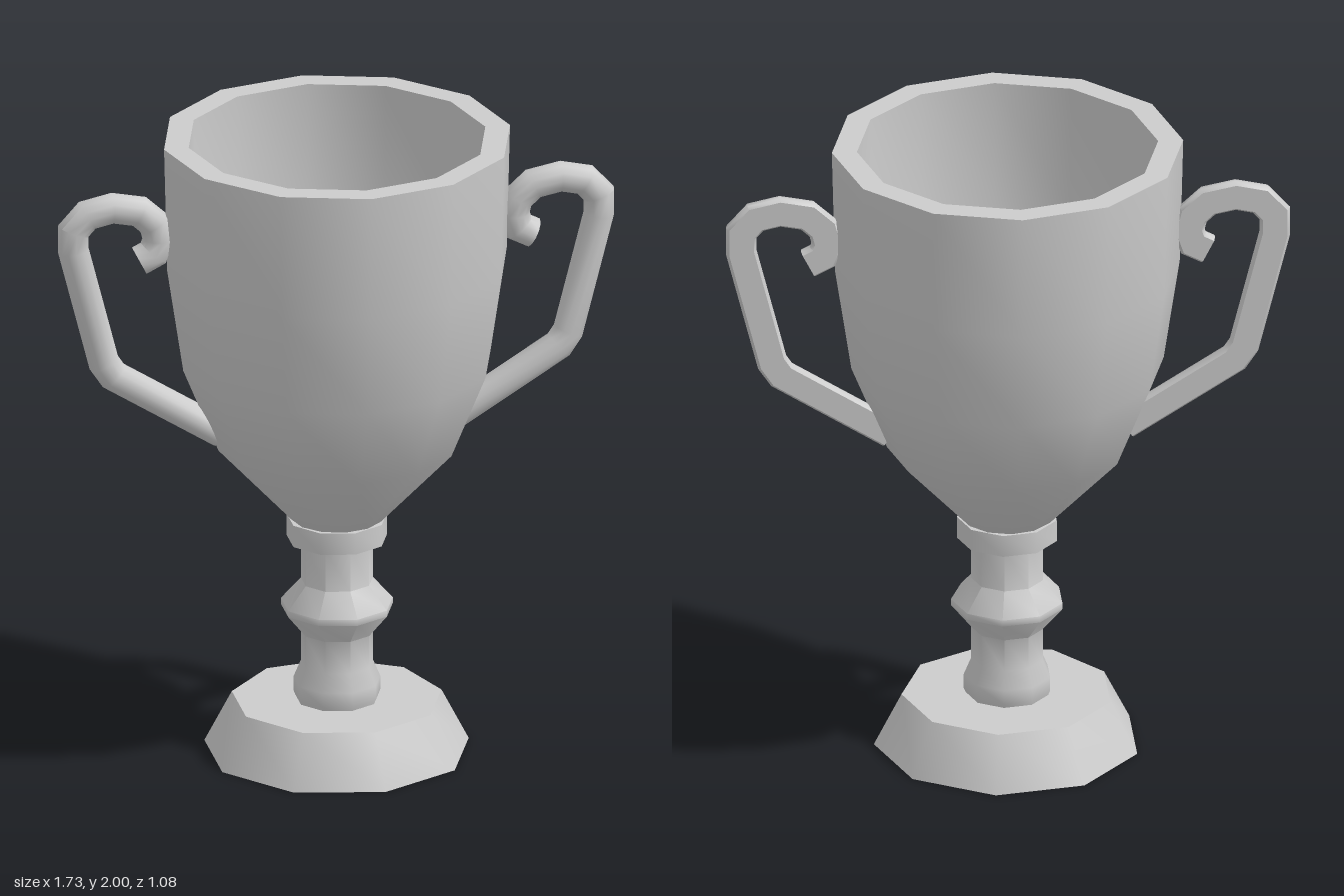
import * as THREE from 'three';
import { toCreasedNormals } from 'three/addons/utils/BufferGeometryUtils.js';

const material = new THREE.MeshStandardMaterial({ color: 0xcccccc, side: THREE.DoubleSide });
const CREASE = 0.8;

function addMesh(group, name, geometry) {
  const mesh = new THREE.Mesh(toCreasedNormals(geometry, CREASE), material);
  mesh.name = name;
  group.add(mesh);
}

// Turned part from [radius, height] pairs, with a corner on +x
function turned(profile, sides) {
  const points = profile.map(([r, y]) => new THREE.Vector2(r, y));
  return new THREE.LatheGeometry(points, sides, Math.PI / 2);
}

// Sweeps a closed (u, z) section along a path in the xy plane, with mitred corners
function sweep(path, section) {
  const positions = [], index = [], n = section.length, last = path.length - 1;
  path.forEach((p, i) => {
    const a = p.clone().sub(path[Math.max(i - 1, 0)]).normalize();
    const b = path[Math.min(i + 1, last)].clone().sub(p).normalize();
    const t = a.clone().add(b).normalize();
    const mitre = 1 / (i > 0 && i < last ? t.dot(a) : 1);
    for (const [u, z] of section) positions.push(p.x - t.y * u * mitre, p.y + t.x * u * mitre, z);
  });
  for (let i = 0; i < last; i++) {
    for (let j = 0; j < n; j++) {
      const a = i * n + j, b = i * n + (j + 1) % n;
      index.push(a, b, b + n, a, b + n, a + n);
    }
  }
  // End caps
  for (let j = 1; j < n - 1; j++) {
    index.push(0, j + 1, j, last * n, last * n + j, last * n + j + 1);
  }
  const geometry = new THREE.BufferGeometry();
  geometry.setAttribute('position', new THREE.Float32BufferAttribute(positions, 3));
  geometry.setIndex(index);
  return geometry;
}

export function createModel() {
  const group = new THREE.Group();

  // Hollow foot, open underneath
  addMesh(group, 'base', turned([[0.411, 0], [0.326, 0.165], [0, 0.165]], 9));

  // Stem with flared foot, knop and collar
  addMesh(group, 'stem', turned([
    [0, 0.13], [0.115, 0.13], [0.135, 0.18], [0.135, 0.225], [0.112, 0.28],
    [0.112, 0.385], [0.174, 0.46], [0.174, 0.48], [0.112, 0.55],
    [0.112, 0.687], [0.156, 0.687], [0.156, 0.757], [0, 0.757],
  ], 9));

  // Bowl: outside upwards, across the rim, then down the inside
  addMesh(group, 'cup', turned([
    [0, 0.755], [0.14, 0.755], [0.37, 1.0], [0.48, 1.27], [0.53, 1.6], [0.54, 2],
    [0.463, 2], [0.455, 1.6], [0.41, 1.3], [0.31, 1.05], [0.13, 0.87], [0, 0.83],
  ], 12));

  // Handle section: rounded front, flat back with a narrow step
  const section = [[-0.038, -0.033], [0.038, -0.033], [0.047, -0.02]];
  for (let i = 0; i <= 6; i++) {
    const a = i * Math.PI / 6;
    section.push([0.047 * Math.cos(a), -0.012 + 0.045 * Math.sin(a)]);
  }
  section.push([-0.047, -0.02]);
  const handlePath = [
    [0.36, 1.055], [0.695, 1.265], [0.725, 1.31], [0.82, 1.685], [0.82, 1.75], [0.777, 1.798],
    [0.70, 1.815], [0.615, 1.798], [0.568, 1.755], [0.555, 1.705], [0.57, 1.66], [0.615, 1.637],
  ];
  for (const [name, side] of [['leftHandle', 1], ['rightHandle', -1]]) {
    addMesh(group, name, sweep(handlePath.map(([x, y]) => new THREE.Vector2(x * side, y)), section));
  }
  return group;
}
